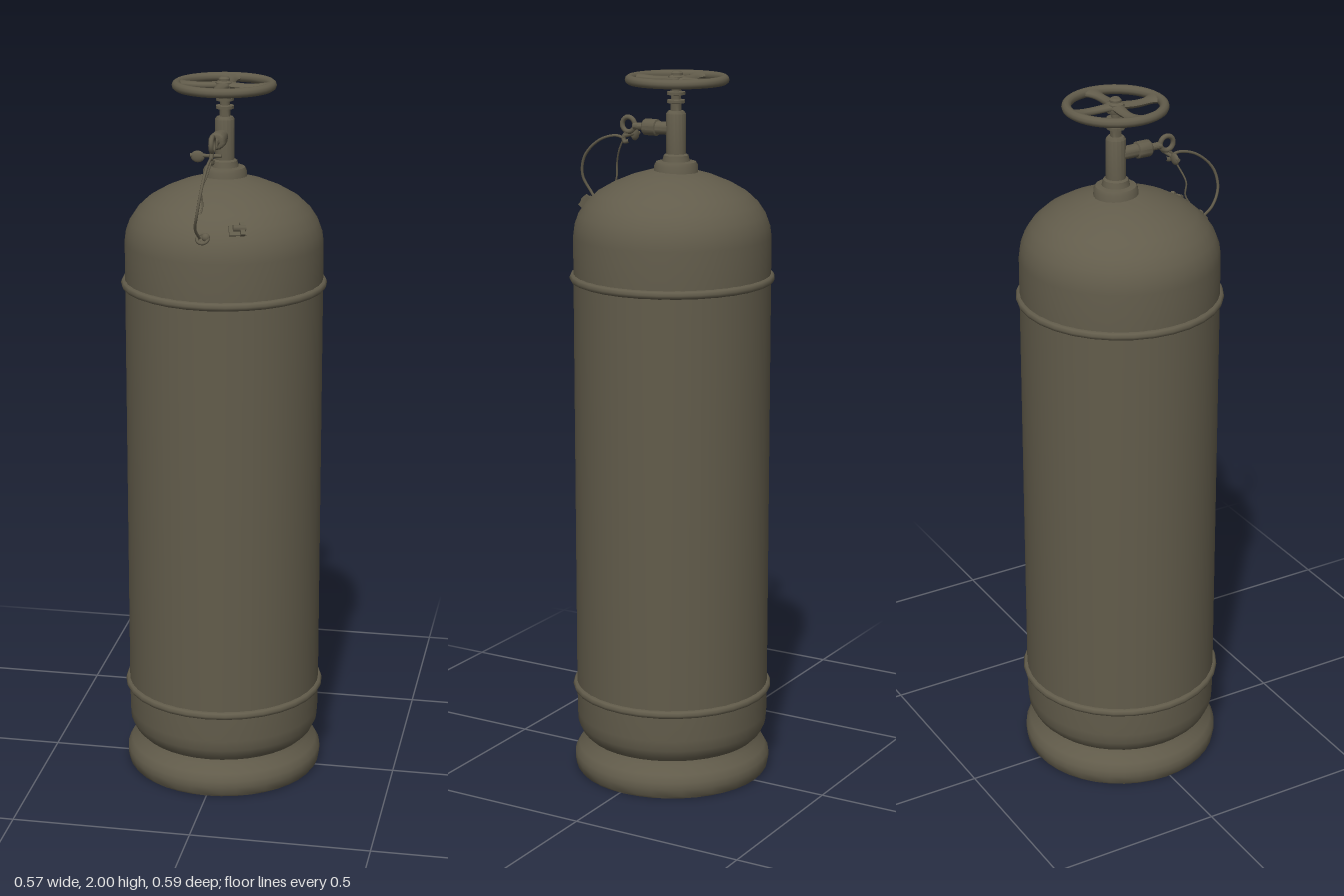
import * as THREE from 'three';
import { toCreasedNormals } from 'three/addons/utils/BufferGeometryUtils.js';

const olive = new THREE.MeshStandardMaterial({ color: 0x625c4b });
olive.name = 'olive paint';

export function createModel() {
  const model = new THREE.Group();
  model.name = 'gasCylinder';
  const bodyZ = -0.012, valveZ = -0.024;

  const add = (name, geometry, x = 0, y = 0, z = 0, parent = model) => {
    const mesh = new THREE.Mesh(geometry, olive);
    mesh.name = name;
    mesh.position.set(x, y, z);
    parent.add(mesh);
    return mesh;
  };
  const lathe = (points, sides, crease = 0.7) => toCreasedNormals(
    new THREE.LatheGeometry(points.map(([r, y]) => new THREE.Vector2(r, y)), sides), crease);
  const tube = (points, radius, closed = false) => new THREE.TubeGeometry(
    new THREE.CatmullRomCurve3(points.map(p => new THREE.Vector3(...p)), closed), 48, radius, 6, closed);

  // Tank with rounded shoulder and base
  add('tank', lathe([
    [0, 0.04], [0.12, 0.048], [0.2, 0.068], [0.238, 0.095], [0.258, 0.115], [0.27, 0.14],
    [0.272, 0.17], [0.273, 0.25], [0.273, 1.435], [0.273, 1.55], [0.269, 1.58], [0.258, 1.61],
    [0.238, 1.64], [0.208, 1.668], [0.165, 1.693], [0.115, 1.714], [0.06, 1.73], [0, 1.735],
  ], 40), 0, 0, bodyZ);

  // Weld beads
  for (const [name, y] of [['lowerBead', 0.25], ['upperBead', 1.435]]) {
    add(name, new THREE.TorusGeometry(0.272, 0.012, 8, 32).rotateX(Math.PI / 2), 0, y, bodyZ);
  }

  // Hollow foot ring
  add('footRing', lathe([
    [0.236, 0.105], [0.238, 0.085], [0.258, 0.06], [0.262, 0.03], [0.258, 0], [0.27, 0],
    [0.276, 0.008], [0.28, 0.03], [0.279, 0.048], [0.268, 0.068], [0.25, 0.088], [0.243, 0.105], [0.236, 0.105],
  ], 40), 0, 0, bodyZ);

  // Neck collar, valve body and threaded spindle
  add('neckCollar', lathe([
    [0.062, 1.7], [0.06, 1.745], [0.055, 1.754], [0.038, 1.756], [0.034, 1.772], [0.027, 1.776], [0, 1.776],
  ], 20), 0, 0, valveZ);
  add('valveBody', lathe([
    [0.027, 1.765], [0.027, 1.885], [0.022, 1.892], [0.015, 1.893], [0.015, 1.912], [0.025, 1.914],
    [0.025, 1.922], [0.014, 1.924], [0.014, 1.934], [0.025, 1.936], [0.025, 1.944], [0.013, 1.946],
    [0.013, 1.955], [0.022, 1.962], [0.022, 1.975], [0, 1.975],
  ], 16), 0, 0, valveZ);

  // Handwheel: rim, hub and four flared, slightly curved spokes
  const wheel = new THREE.Group();
  wheel.name = 'handwheel';
  wheel.position.set(-0.002, 1.977, valveZ - 0.002);
  model.add(wheel);
  add('wheelRim', new THREE.TorusGeometry(0.129, 0.013, 10, 40).rotateX(Math.PI / 2), 0, 0, 0, wheel);
  add('wheelHub', lathe([
    [0, -0.018], [0.022, -0.018], [0.026, -0.006], [0.024, 0.008], [0.016, 0.012],
    [0.016, 0.018], [0.011, 0.023], [0, 0.023],
  ], 16), 0, 0, 0, wheel);
  const spoke = new THREE.CylinderGeometry(1, 1, 1, 10, 12, true);
  const p = spoke.attributes.position;
  for (let i = 0; i < p.count; i++) {
    const s = p.getY(i) + 0.5;
    const flare = 0.014 + 0.028 * Math.max(0, (s - 0.55) / 0.45) ** 3 + 0.007 * (1 - s) ** 4;
    p.setXYZ(i, 0.01 + s * 0.115,
      p.getX(i) * 0.01 - 0.004 * Math.sin(Math.PI * s),
      p.getZ(i) * flare + 0.006 * Math.sin(Math.PI * s));
  }
  // Cross-section axes were swapped above, so restore outward winding
  const index = spoke.index;
  const probe = new THREE.Vector3(), a = new THREE.Vector3(), b = new THREE.Vector3();
  const first = [0, 1, 2].map(k => new THREE.Vector3().fromBufferAttribute(p, index.getX(k)));
  a.subVectors(first[1], first[0]);
  b.subVectors(first[2], first[0]);
  probe.crossVectors(a, b);
  const outward = first[0].clone().add(first[1]).add(first[2]).divideScalar(3);
  outward.x = 0;
  const centreZ = 0.0;
  outward.z -= centreZ;
  if (probe.dot(outward) < 0) {
    for (let i = 0; i < index.count; i += 3) {
      const t = index.getX(i);
      index.setX(i, index.getX(i + 1));
      index.setX(i + 1, t);
    }
  }
  spoke.computeVertexNormals();
  for (let i = 0; i < 4; i++) {
    add('wheelSpoke', spoke, 0, 0, 0, wheel).rotation.y = i * Math.PI / 2 + 0.03;
  }

  // Side outlet with plug and cross bar
  add('outlet', lathe([
    [0.018, 0], [0.018, 0.06], [0.023, 0.062], [0.023, 0.098], [0.019, 0.103],
    [0.01, 0.105], [0.01, 0.135], [0, 0.137],
  ], 14).rotateX(Math.PI / 2), -0.004, 1.842, valveZ);
  add('plugRing', new THREE.TorusGeometry(0.02, 0.007, 8, 20).rotateY(Math.PI / 2), -0.005, 1.845, 0.13);
  add('plugBar', new THREE.CylinderGeometry(0.005, 0.005, 0.085, 8).rotateZ(Math.PI / 2), -0.022, 1.815, 0.132);
  add('plugGrip', new THREE.SphereGeometry(0.016, 12, 8).scale(1.2, 1, 0.45), -0.044, 1.812, 0.132);
  add('plugHook', tube([[-0.005, 1.825, 0.133], [-0.005, 1.81, 0.145], [-0.003, 1.797, 0.142], [-0.004, 1.8, 0.128]], 0.006));

  // Retaining cable and thin wire
  add('cable', tube([
    [-0.004, 1.805, 0.14], [-0.003, 1.812, 0.17], [-0.004, 1.795, 0.225], [-0.008, 1.745, 0.276],
    [-0.016, 1.69, 0.287], [-0.025, 1.645, 0.265], [-0.018, 1.615, 0.238],
  ], 0.004));
  add('thinWire', tube([
    [-0.004, 1.805, 0.145], [-0.012, 1.77, 0.165], [-0.025, 1.73, 0.18],
    [-0.022, 1.69, 0.18], [-0.028, 1.65, 0.205], [-0.02, 1.625, 0.23],
  ], 0.0025));

  // Cable anchor on the shoulder
  add('cableAnchorRing', new THREE.TorusGeometry(0.015, 0.005, 6, 16).rotateX(-0.8), -0.01, 1.615, 0.242);
  add('cableAnchor', new THREE.SphereGeometry(0.012, 10, 8), -0.002, 1.618, 0.238);

  // Small lug on the shoulder
  const lug = new THREE.Group();
  lug.name = 'shoulderLug';
  lug.position.set(0.078, 1.633, 0.214);
  lug.rotation.set(-0.7, 0.33, 0.2);
  model.add(lug);
  add('lugPlate', new THREE.BoxGeometry(0.046, 0.03, 0.012), 0, 0, 0, lug);
  add('lugPin', new THREE.CylinderGeometry(0.009, 0.009, 0.034, 8).rotateZ(Math.PI / 2), 0.004, 0.004, 0.01, lug);
  add('lugTab', new THREE.BoxGeometry(0.012, 0.036, 0.02), 0.012, 0.002, 0.006, lug);

  return model;
}
